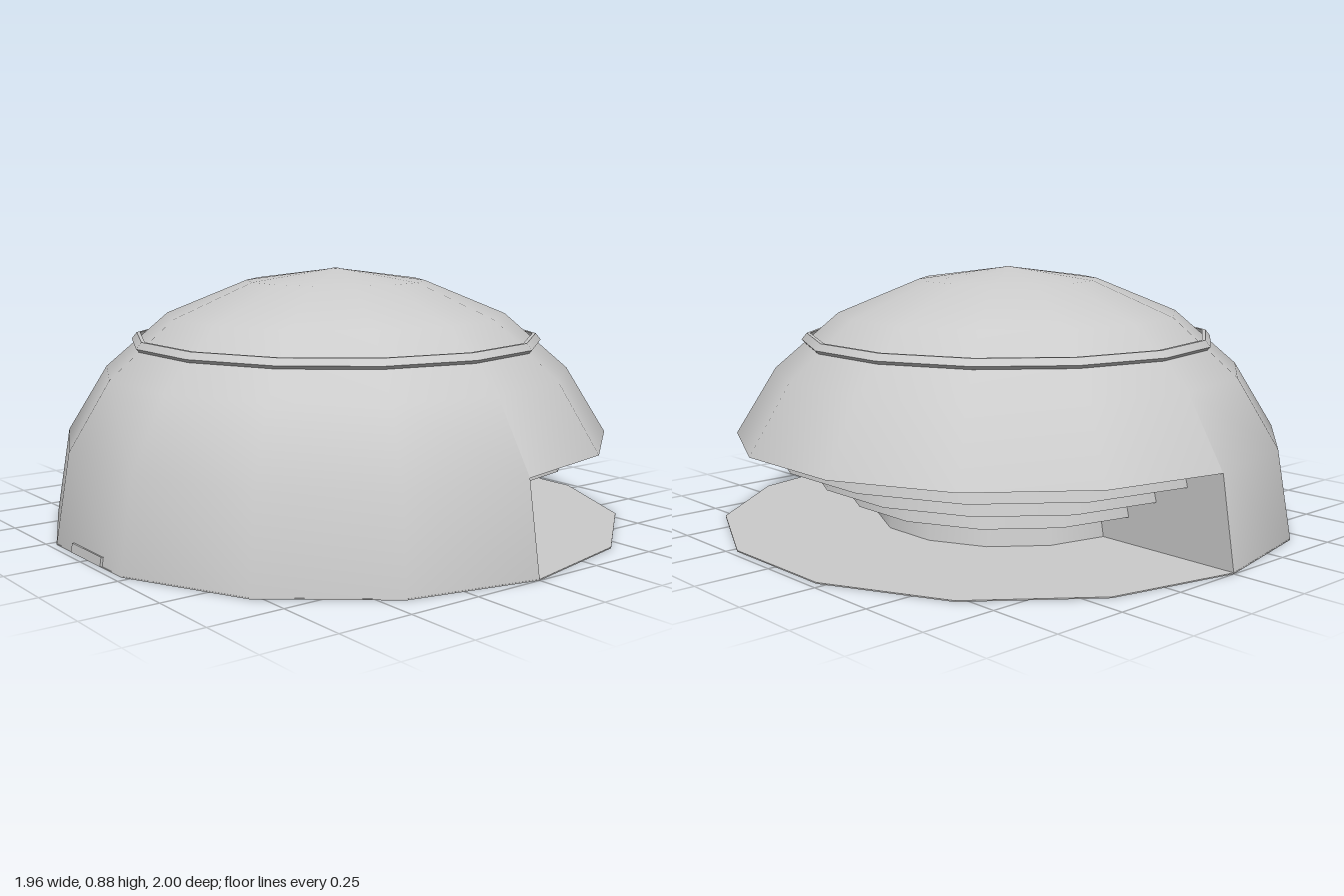
import * as THREE from 'three';

const SIDES = 14;
const material = new THREE.MeshStandardMaterial({ color: 0xcccccc });
const thin = new THREE.MeshStandardMaterial({ color: 0xcccccc, side: THREE.DoubleSide });

const toPoints = (list) => list.map(([r, y]) => new THREE.Vector2(r, y));

// [radius, height] profiles
const DOME = [[0.95, 0.302], [0.81, 0.53], [0.59, 0.72], [0.31, 0.835], [0.008, 0.876]];
const STEPS = [
  [0.465, 0], [0.45, 0.08], [0.575, 0.092], [0.56, 0.152], [0.69, 0.163],
  [0.675, 0.222], [0.815, 0.234], [0.8, 0.287], [0.95, 0.302],
];
const RING = [[0.69, 0.62], [0.706, 0.614], [0.718, 0.628], [0.7, 0.65], [0.688, 0.65], [0.688, 0.625]];

export function createModel() {
  const model = new THREE.Group();

  const add = (name, geometry, parent = model, mat = material) => {
    const mesh = new THREE.Mesh(geometry, mat);
    mesh.name = name;
    parent.add(mesh);
    return mesh;
  };

  // Each profile segment becomes its own lathe, so the edges between bands stay sharp
  const addBands = (name, profile, start, length) => {
    const group = new THREE.Group();
    group.name = name;
    const segments = Math.round((SIDES * length) / (2 * Math.PI));
    for (let i = 0; i < profile.length - 1; i++) {
      add(name + 'Band', new THREE.LatheGeometry(toPoints(profile.slice(i, i + 2)), segments, start, length), group);
    }
    model.add(group);
  };

  // Smooth shell: the right half reaches the ground, the left half stops above the steps
  add('rightShell', new THREE.LatheGeometry(toPoints([[1, 0], ...DOME]), SIDES / 2, Math.PI, Math.PI));
  add('leftShell', new THREE.LatheGeometry(toPoints(DOME), SIDES / 2, 0, Math.PI));

  // Inverted steps under the open half
  addBands('steps', STEPS, 0, Math.PI);

  // Upright walls that close the shell at both ends of the opening
  for (const side of [1, -1]) {
    const outline = [[1, 0], ...[...STEPS].reverse()].map(([r, y]) => new THREE.Vector2(r * side, y));
    const wall = add(side > 0 ? 'backCutWall' : 'frontCutWall', new THREE.ShapeGeometry(new THREE.Shape(outline)), model, thin);
    wall.rotation.y = Math.PI / 2;
  }

  // Flat floor plate
  add('floor', new THREE.CylinderGeometry(1, 1, 0.004, SIDES).translate(0, 0.002, 0));

  // Raised rim around the crown
  addBands('crownRim', RING, 0, Math.PI * 2);

  // Tiny cap at the top
  add('topCap', new THREE.CylinderGeometry(0.01, 0.01, 0.004, SIDES).translate(0, 0.875, 0));

  // Small sill low on the closed side
  const sill = add('sill', new THREE.BoxGeometry(0.016, 0.03, 0.2));
  sill.position.set(-0.972, 0.018, 0);
  sill.rotation.z = -0.16;

  return model;
}
